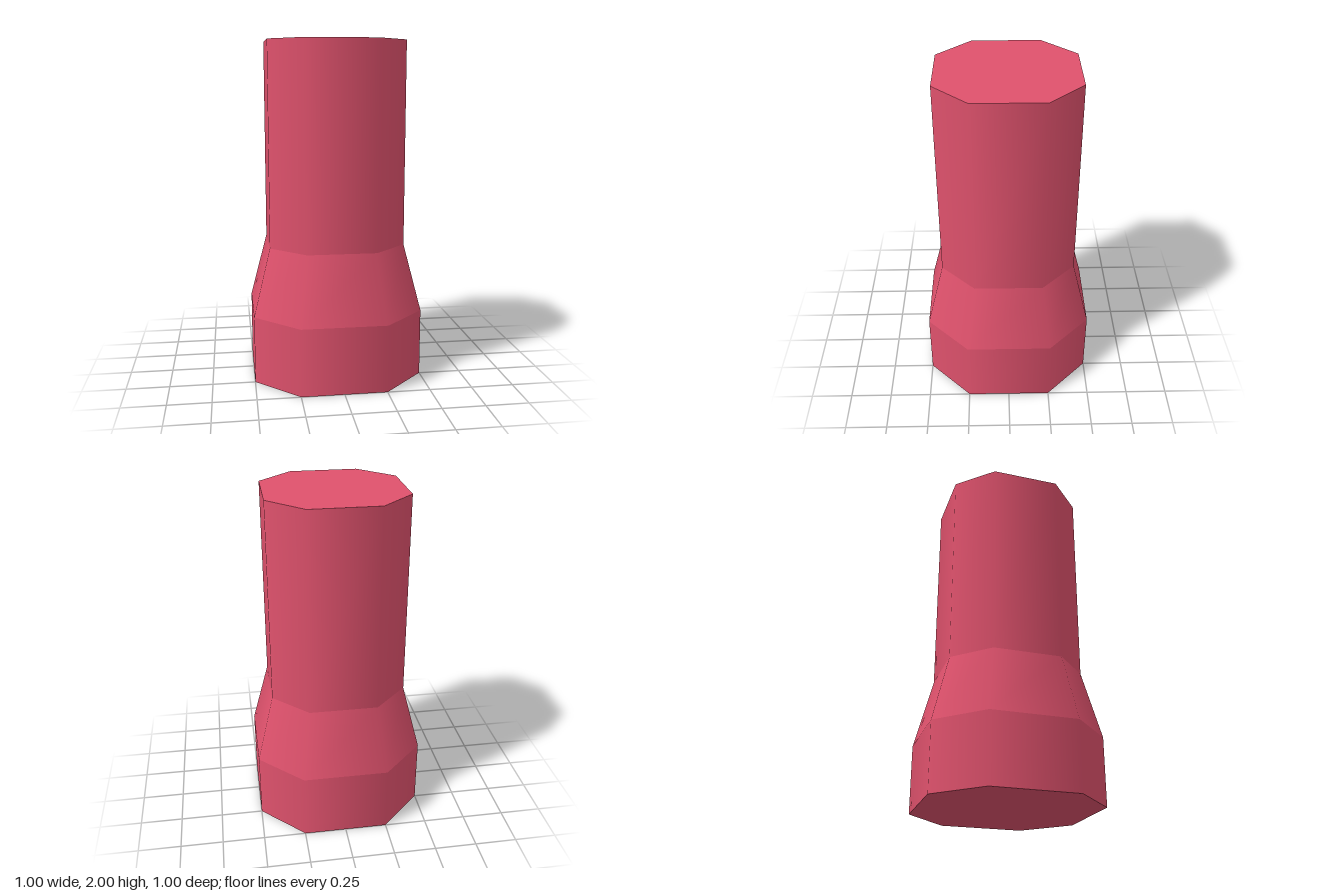
import * as THREE from 'three';

// Turns a regular octagon into one with long straight sides and shorter chamfers
function squareOff(geometry, radiusAt) {
  const pos = geometry.attributes.position;
  for (let i = 0; i < pos.count; i++) {
    const x = pos.getX(i), z = pos.getZ(i);
    if (Math.hypot(x, z) < 1e-4) continue; // cap centre
    const r = radiusAt(pos.getY(i));
    const xMajor = Math.abs(x) > Math.abs(z);
    pos.setX(i, Math.sign(x) * (xMajor ? r : r / 2));
    pos.setZ(i, Math.sign(z) * (xMajor ? r / 2 : r));
  }
  return geometry;
}

export function createModel() {
  const model = new THREE.Group();
  model.name = 'steppedColumn';
  const red = new THREE.MeshStandardMaterial({ color: 0xe0526d });
  red.name = 'rose red';

  const add = (name, geometry, y) => {
    const mesh = new THREE.Mesh(geometry, red);
    mesh.name = name;
    mesh.position.y = y;
    model.add(mesh);
  };

  // Open wall sections, smooth around and sharp where they meet
  const sections = [
    ['base', 0, 0.4, 0.5, 0.5],
    ['taper', 0.4, 0.8, 0.5, 0.4],
    ['shaft', 0.8, 2, 0.4, 0.4],
  ];
  for (const [name, y0, y1, bottom, top] of sections) {
    const wall = new THREE.CylinderGeometry(top, bottom, y1 - y0, 8, 1, true, Math.PI / 8);
    add(name, squareOff(wall, (y) => (y > 0 ? top : bottom)), (y0 + y1) / 2);
  }

  // Flat end faces
  const cap = (name, r, y, up) => {
    const disc = new THREE.CircleGeometry(r, 8, Math.PI / 8).rotateX(up ? -Math.PI / 2 : Math.PI / 2);
    add(name, squareOff(disc, () => r), y);
  };
  cap('bottomFace', 0.5, 0, false);
  cap('topFace', 0.4, 2, true);

  return model;
}
